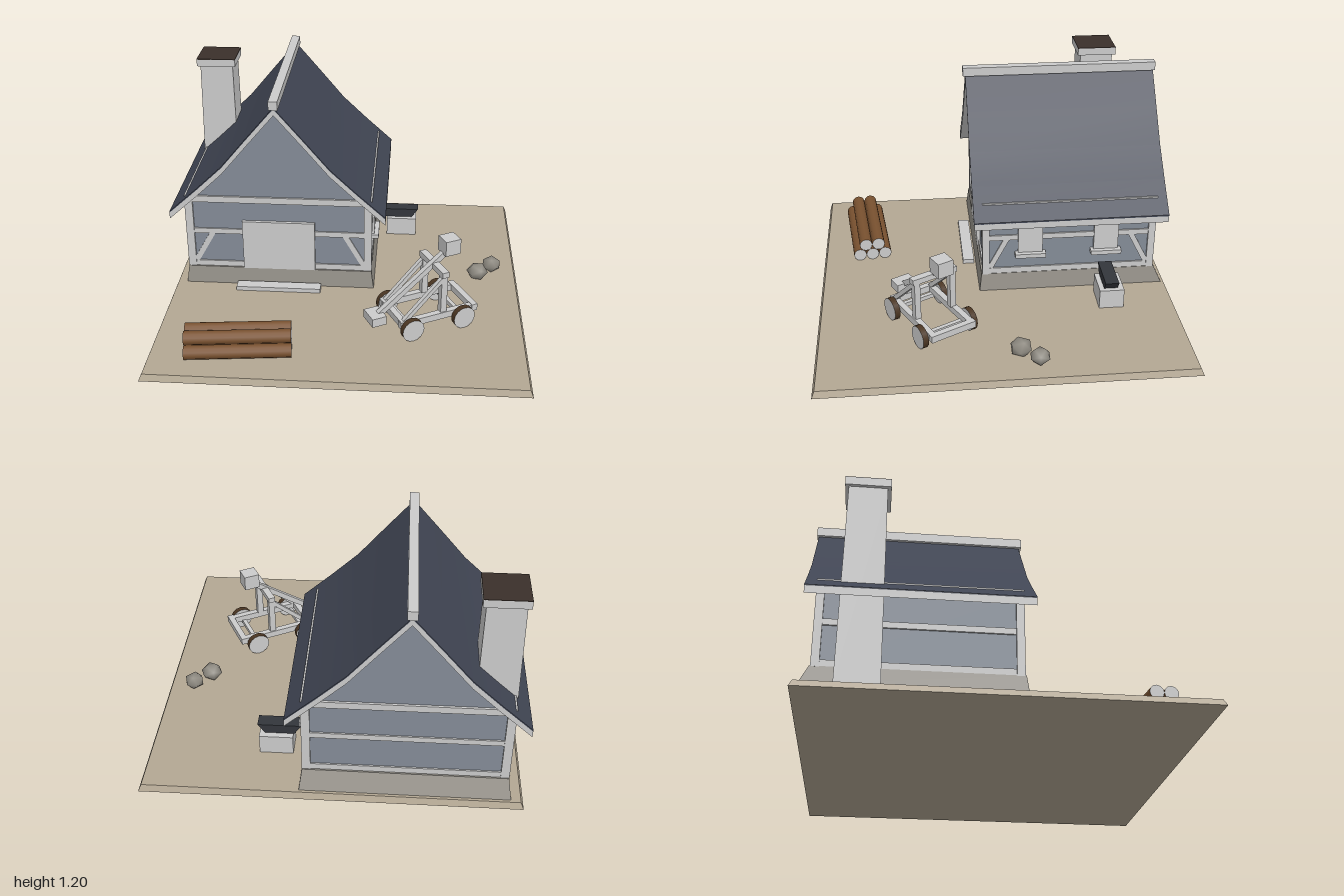
import * as THREE from 'three';
import { mergeVertices, toCreasedNormals } from 'three/addons/utils/BufferGeometryUtils.js';

const mat = (color, flatShading = true) => new THREE.MeshStandardMaterial({ color, flatShading });
const GREY = mat(0xcccccc), WALL = mat(0x848c97), STONE = mat(0x96928a), DIRT = mat(0xb3a793);
const DARK = mat(0x3a302a), IRON = mat(0x33363c), ROOF = mat(0x404553, false);
const BARK = mat(0x7a5230, false), RIM = mat(0x4a3522, false), ROCK = mat(0x918d84, false);

const HX = -0.387, HZ = -0.422; // house centre
const GROUND = 0.035;

function add(parent, name, geo, material, x = 0, y = 0, z = 0) {
  const m = new THREE.Mesh(geo, material);
  m.name = name;
  m.position.set(x, y, z);
  parent.add(m);
  return m;
}

// box from its lowest to its highest corner
function box(parent, name, material, x0, x1, y0, y1, z0, z1) {
  return add(parent, name, new THREE.BoxGeometry(x1 - x0, y1 - y0, z1 - z0), material,
    (x0 + x1) / 2, (y0 + y1) / 2, (z0 + z1) / 2);
}

// box whose bottom and top differ: [half width, half depth, shift in z]
function taper(parent, name, material, x, z, y0, y1, bottom, top) {
  const g = new THREE.BoxGeometry(2, 1, 2), p = g.attributes.position;
  for (let i = 0; i < p.count; i++) {
    const [hx, hz, shift = 0] = p.getY(i) < 0 ? bottom : top;
    p.setX(i, p.getX(i) * hx);
    p.setZ(i, p.getZ(i) * hz + shift);
  }
  g.scale(1, y1 - y0, 1);
  g.computeVertexNormals();
  return add(parent, name, g, material, x, (y0 + y1) / 2, z);
}

// square timber between two points
function strut(parent, name, a, b, w, d) {
  const A = new THREE.Vector3(...a), B = new THREE.Vector3(...b);
  const m = add(parent, name, new THREE.BoxGeometry(w, A.distanceTo(B), d), GREY);
  m.position.copy(A).add(B).multiplyScalar(0.5);
  m.quaternion.setFromUnitVectors(new THREE.Vector3(0, 1, 0), B.sub(A).normalize());
  return m;
}

// symmetric outline extruded along z, centred on the house
function prism(parent, name, material, points, depth) {
  const g = new THREE.ExtrudeGeometry(new THREE.Shape(points.map(p => new THREE.Vector2(...p))),
    { depth, bevelEnabled: false });
  return add(parent, name, toCreasedNormals(g, 0.4), material, HX, 0, HZ - depth / 2);
}

// roof section between two depths below the roof line
const ROOF_LINE = [[0, 1.16], [0.15, 0.983], [0.3, 0.803], [0.45, 0.66], [0.61, 0.515]];
function roofBand(top, bottom) {
  const side = (drop) => ROOF_LINE.map(([x, y]) => [x, y - drop]);
  const full = (drop) => [...side(drop).slice(1).reverse().map(([x, y]) => [-x, y]), ...side(drop)];
  return [...full(top), ...full(bottom).reverse()];
}

function makeHouse() {
  const h = new THREE.Group();
  h.name = 'house';
  taper(h, 'stoneBase', STONE, HX, HZ, GROUND, 0.138, [0.547, 0.53, -0.018], [0.532, 0.5]);
  prism(h, 'walls', WALL, [[-0.52, 0.13], [0.52, 0.13], [0.52, 0.57], [0.3, 0.77],
    [0, 1.12], [-0.3, 0.77], [-0.52, 0.57]], 0.965);

  // roof: pale slab with a dark skin on top, and the ridge beam
  prism(h, 'roofSlab', GREY, roofBand(0.006, 0.045), 1.09);
  prism(h, 'roofCovering', ROOF, roofBand(0, 0.008), 1.092);
  box(h, 'ridgeBeam', GREY, HX - 0.025, HX + 0.025, 1.15, 1.2, HZ - 0.555, HZ + 0.56);

  // timber frame: posts, then sill, middle rail and wall plate on all sides
  const X = 0.533, Z = 0.495;
  for (const sx of [-1, 1]) for (const sz of [-1, 1])
    add(h, 'cornerPost', new THREE.BoxGeometry(0.045, 0.44, 0.04), GREY,
      HX + sx * (X - 0.0225), 0.355, HZ + sz * (Z - 0.02));
  for (const [y0, y1] of [[0.136, 0.172], [0.352, 0.384], [0.555, 0.593]]) {
    for (const s of [-1, 1]) {
      const e = y1 > 0.5 ? 0 : 0.004; // lower rails sit just behind the posts
      add(h, 'gableRail', new THREE.BoxGeometry(2 * X - 0.01, y1 - y0, 0.03), GREY,
        HX, (y0 + y1) / 2, HZ + s * (Z - 0.015 - e));
      add(h, 'sideRail', new THREE.BoxGeometry(0.02, y1 - y0, 2 * Z - 0.004), GREY,
        HX + s * (X - 0.01 - e), (y0 + y1) / 2, HZ);
    }
  }
  // corner braces on the front and on the window side
  for (const s of [-1, 1]) {
    strut(h, 'frontBrace', [HX + s * 0.49, 0.165, HZ + 0.482], [HX + s * 0.38, 0.36, HZ + 0.482], 0.03, 0.016);
    strut(h, 'sideBrace', [HX + 0.52, 0.165, HZ + s * 0.455], [HX + 0.52, 0.36, HZ + s * 0.355], 0.016, 0.03);
  }

  // door and step
  box(h, 'door', GREY, -0.595, -0.18, 0.135, 0.44, 0.05, 0.08);
  box(h, 'doorStep', GREY, -0.63, -0.145, GROUND, 0.06, 0.1, 0.166);

  // shuttered windows with sills
  for (const z of [-0.2, -0.633]) {
    box(h, 'window', GREY, 0.12, 0.152, 0.27, 0.44, z - 0.07, z + 0.07);
    box(h, 'windowSill', GREY, 0.12, 0.178, 0.25, 0.275, z - 0.087, z + 0.087);
  }

  // chimney
  taper(h, 'chimney', GREY, -0.827, -0.702, GROUND, 1.13, [0.111, 0.108], [0.097, 0.097]);
  box(h, 'chimneyCap', GREY, -0.942, -0.712, 1.125, 1.168, -0.817, -0.587);
  box(h, 'chimneyTop', DARK, -0.942, -0.712, 1.166, 1.171, -0.817, -0.587);
  return h;
}

// siege engine, long axis along local x
function makeCatapult() {
  const c = new THREE.Group();
  c.name = 'catapult';
  c.position.set(0.455, 0, 0.384);
  c.rotation.y = 0.487;
  for (const s of [-1, 1]) {
    box(c, 'sideRail', GREY, -0.215, 0.25, 0.105, 0.143, s * 0.115 - 0.017, s * 0.115 + 0.017);
    box(c, 'upright', GREY, 0.028, 0.064, 0.14, 0.37, s * 0.108 - 0.017, s * 0.108 + 0.017);
    strut(c, 'brace', [-0.19, 0.135, s * 0.112], [0.04, 0.35, s * 0.112], 0.024, 0.024);
    strut(c, 'axle', [s * 0.155, 0.1, -0.15], [s * 0.155, 0.1, 0.15], 0.024, 0.024);
    for (const u of [-0.155, 0.155]) {
      const w = add(c, 'wheel', new THREE.CylinderGeometry(0.064, 0.064, 0.032, 16), [RIM, GREY, GREY],
        u, 0.1, s * 0.151);
      w.rotation.x = Math.PI / 2;
    }
  }
  for (const u of [-0.195, 0.235])
    box(c, 'crossBeam', GREY, u - 0.017, u + 0.017, 0.108, 0.146, -0.135, 0.135);
  box(c, 'topBeam', GREY, 0.027, 0.067, 0.36, 0.392, -0.133, 0.133);
  strut(c, 'arm', [-0.3, 0.13, 0], [0.13, 0.45, 0], 0.03, 0.03);
  box(c, 'armFoot', GREY, -0.345, -0.262, 0.105, 0.155, -0.057, 0.057);
  box(c, 'bucket', GREY, 0.091, 0.181, 0.432, 0.52, -0.045, 0.045);
  return c;
}

// five logs stacked three and two
function makeLogPile() {
  const pile = new THREE.Group(), r = 0.0375;
  pile.name = 'logPile';
  pile.position.set(-0.524, GROUND, 0.735);
  pile.rotation.y = 0.105;
  for (const [row, count] of [[0, 3], [1, 2]])
    for (let i = 0; i < count; i++) {
      const log = add(pile, 'log', new THREE.CylinderGeometry(r, r, 0.56, 12), [BARK, GREY, GREY],
        0, r + row * r * 1.732, (i - (count - 1) / 2) * 2 * r);
      log.rotation.z = Math.PI / 2;
    }
  return pile;
}

// rounded boulder with shared, smooth normals
function boulderGeometry(radius) {
  const g = new THREE.IcosahedronGeometry(radius);
  g.deleteAttribute('uv');
  g.deleteAttribute('normal');
  const merged = mergeVertices(g);
  merged.computeVertexNormals();
  return merged;
}

export function createModel() {
  const model = new THREE.Group();
  model.name = 'homestead';
  taper(model, 'ground', DIRT, 0, 0, 0, GROUND, [1, 1], [0.985, 0.985]);
  model.add(makeHouse(), makeCatapult(), makeLogPile());

  // anvil on a stone block
  box(model, 'anvilBlock', GREY, 0.215, 0.397, GROUND, 0.147, -0.7, -0.562);
  taper(model, 'anvil', IRON, 0.29, -0.628, 0.147, 0.2, [0.08, 0.038], [0.118, 0.038]);

  // boulders
  for (const [x, z, r, turn] of [[0.765, -0.077, 0.063, 0.4], [0.852, -0.167, 0.058, 1.5]]) {
    const b = add(model, 'boulder', boulderGeometry(r), ROCK, x, 0.073, z);
    b.scale.y = 0.82;
    b.rotation.y = turn;
  }
  return model;
}
